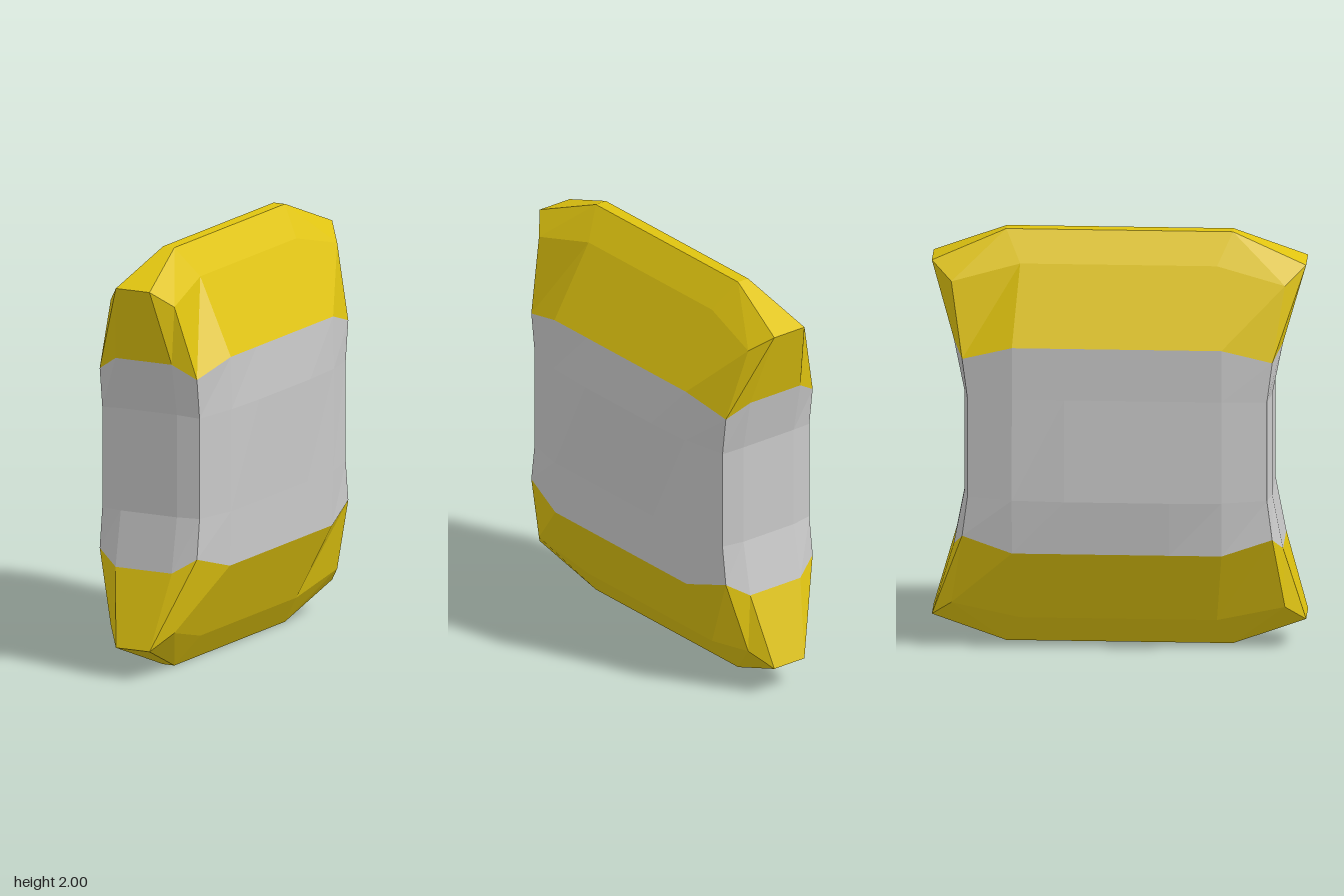
import * as THREE from 'three';

// Levels from bottom to top; each gives the +x, +z quarter as [x, y, z]:
// end-face edge, corner crease, side edge.
const LEVELS = [
  [[0.03, 0, 0.53], [0.03, 0, 0.53], [0.03, 0, 0.53]],
  [[0.09, 0.14, 0.875], [0.17, 0.22, 0.78], [0.13, 0.14, 0.46]],
  [[0.15, 0.5, 0.77], [0.26, 0.57, 0.725], [0.305, 0.5, 0.49]],
  [[0.15, 0.76, 0.72], [0.26, 0.76, 0.70], [0.31, 0.76, 0.49]],
  [[0.15, 1.25, 0.72], [0.26, 1.24, 0.70], [0.31, 1.25, 0.49]],
  [[0.15, 1.5, 0.77], [0.26, 1.43, 0.725], [0.31, 1.5, 0.49]],
  [[0.09, 1.86, 0.875], [0.17, 1.78, 0.78], [0.13, 1.86, 0.46]],
  [[0.03, 2, 0.53], [0.03, 2, 0.53], [0.03, 2, 0.53]],
];

// Closed ring of 18 points, counter-clockwise from above, starting at the front
function makeRing(quarter, level) {
  const [end, corner, side] = quarter;
  const half = (s) => {
    // Slight swelling of the flat sides
    const swell = (s > 0 && level === 4) ? 0.015 : (s < 0 && level === 3) ? 0.02 : 0;
    const at = (p, z, extra = 0) => new THREE.Vector3(s * (p[0] + extra), p[1], z);
    return [
      at(end, end[2]), at(corner, corner[2]), at(side, side[2], swell * 0.3),
      at(side, side[2] / 2, swell), at(side, 0, swell), at(side, -side[2] / 2, swell),
      at(side, -side[2], swell * 0.3), at(corner, -corner[2]), at(end, -end[2]),
    ];
  };
  return [...half(1), ...half(-1).reverse()];
}

function addTriangle(out, a, b, c) {
  const area = b.clone().sub(a).cross(c.clone().sub(a)).length();
  if (area > 1e-7) for (const p of [a, b, c]) out.push(p.x, p.y, p.z);
}

function addQuad(out, a, b, c, d) {
  addTriangle(out, a, b, c);
  addTriangle(out, a, c, d);
}

export function createModel() {
  const group = new THREE.Group();
  group.name = 'facetedBlock';
  const yellow = new THREE.MeshStandardMaterial({ color: 0xe0c410 });
  yellow.name = 'yellow';
  const silver = new THREE.MeshStandardMaterial({ color: 0xcacaca });
  silver.name = 'silver';

  const rings = LEVELS.map(makeRing);

  // Band of facets between two levels, with an optional narrow end strip
  const addBand = (name, from, to, material, cap) => {
    const out = [];
    for (let i = from; i < to; i++) {
      const n = rings[i].length;
      for (let j = 0; j < n; j++) {
        const k = (j + 1) % n;
        addQuad(out, rings[i][j], rings[i][k], rings[i + 1][k], rings[i + 1][j]);
      }
    }
    if (cap === 'bottom') {
      const r = rings[from];
      addQuad(out, r[15], r[11], r[6], r[2]);
    }
    if (cap === 'top') {
      const r = rings[to];
      addQuad(out, r[15], r[2], r[6], r[11]);
    }
    const geometry = new THREE.BufferGeometry();
    geometry.setAttribute('position', new THREE.Float32BufferAttribute(out, 3));
    geometry.computeVertexNormals(); // unshared corners give flat facets
    const mesh = new THREE.Mesh(geometry, material);
    mesh.name = name;
    group.add(mesh);
  };

  addBand('lowerCap', 0, 2, yellow, 'bottom');
  addBand('middleBody', 2, 5, silver);
  addBand('upperCap', 5, 7, yellow, 'top');
  return group;
}
